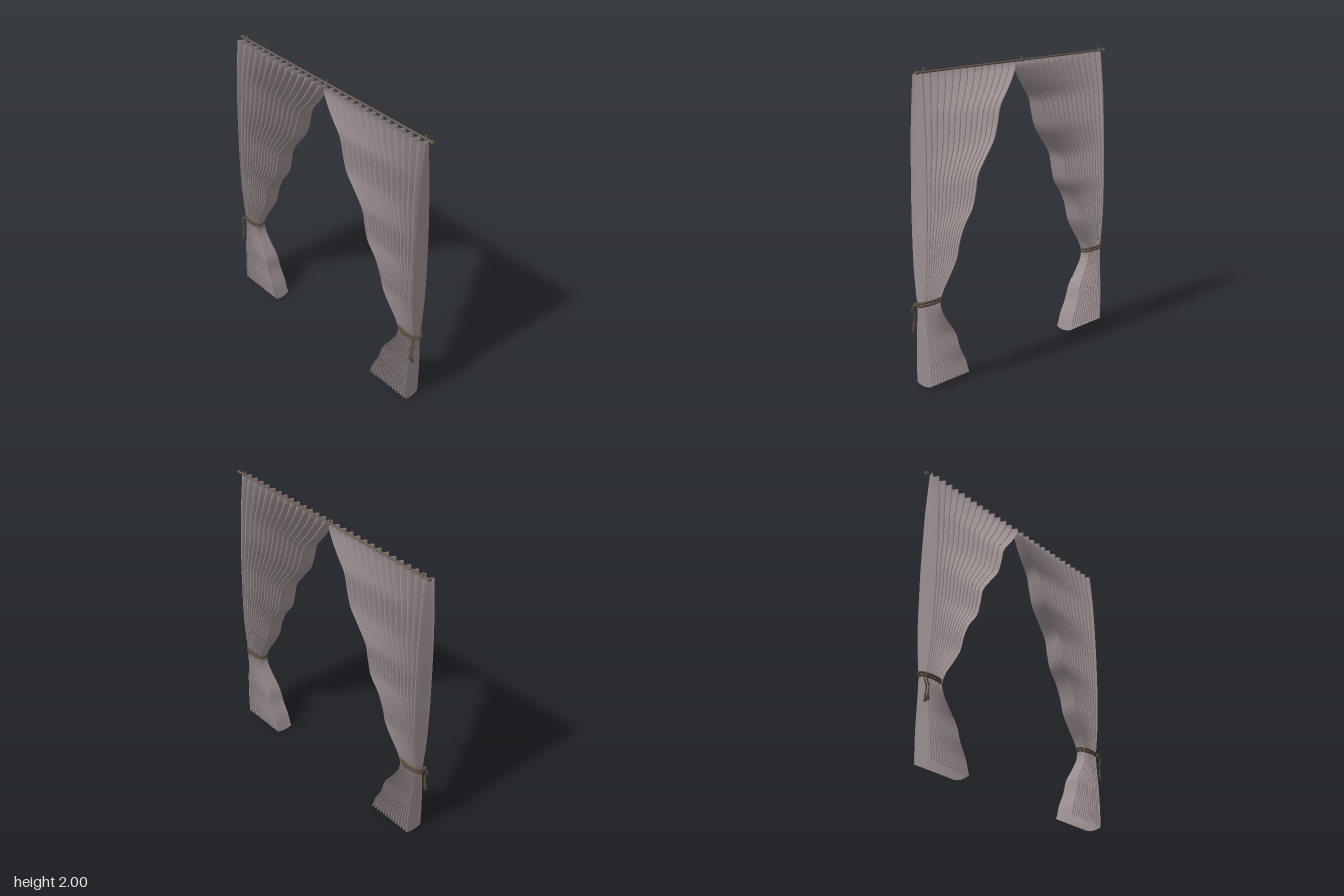
import * as THREE from 'three';

const fabric = new THREE.MeshStandardMaterial({ color: 0x9c8f90, side: THREE.DoubleSide });
fabric.name = 'curtain fabric';
const bronze = new THREE.MeshStandardMaterial({ color: 0x6a5d50 });
bronze.name = 'rod bronze';
const cord = new THREE.MeshStandardMaterial({ color: 0x594a3b });
cord.name = 'tieback cord';

const PLEATS = 14, STEPS = 12, ROWS = 84;

// Rows of the drape from top to hem: inner edge x, height y, pleat depth z
const drape = new THREE.CatmullRomCurve3([
  [0.002, 1.968, 0.028], [0.005, 1.94, 0.03], [0.04, 1.88, 0.036], [0.1, 1.8, 0.042],
  [0.175, 1.71, 0.049], [0.21, 1.6, 0.054], [0.25, 1.5, 0.058], [0.33, 1.4, 0.06],
  [0.405, 1.3, 0.062], [0.43, 1.2, 0.063], [0.46, 1.1, 0.063], [0.535, 1.0, 0.062],
  [0.58, 0.9, 0.06], [0.605, 0.8, 0.056], [0.66, 0.7, 0.048], [0.71, 0.62, 0.04],
  [0.735, 0.55, 0.033], [0.73, 0.49, 0.035], [0.68, 0.4, 0.042], [0.62, 0.31, 0.051],
  [0.59, 0.21, 0.057], [0.54, 0.11, 0.061], [0.51, 0.004, 0.062],
].map(p => new THREE.Vector3(...p)), false, 'centripetal');

function named(mesh, name, parent) {
  mesh.name = name;
  parent.add(mesh);
  return mesh;
}

// Pleated sheet gathered toward its outer side
function panelGeometry() {
  const cols = PLEATS * STEPS, pos = [], idx = [];
  for (let r = 0; r <= ROWS; r++) {
    const row = drape.getPoint(r / ROWS);
    const outer = 0.862 + 0.018 * Math.min(1, row.y / 0.6);
    const hem = Math.max(0, 1 - row.y / 0.06) * 0.018;
    for (let c = 0; c <= cols; c++) {
      const u = c / cols;
      const wave = Math.cos(u * PLEATS * Math.PI * 2);
      const x = THREE.MathUtils.lerp(outer, row.x, u);
      pos.push(x, row.y + hem * wave * wave, row.z * wave);
      if (r < ROWS && c < cols) {
        const a = r * (cols + 1) + c, b = a + cols + 1;
        idx.push(a, a + 1, b, a + 1, b + 1, b);
      }
    }
  }
  const g = new THREE.BufferGeometry();
  g.setAttribute('position', new THREE.Float32BufferAttribute(pos, 3));
  g.setIndex(idx);
  g.computeVertexNormals();
  return g;
}

function tube(points, radius, segments, closed = false) {
  const curve = new THREE.CatmullRomCurve3(points.map(p => new THREE.Vector3(...p)), closed);
  return new THREE.TubeGeometry(curve, segments, radius, 8, closed);
}

// Two cord loops, a knot and two hanging tassels
function tieback(s) {
  const g = new THREE.Group();
  g.name = s > 0 ? 'leftTieback' : 'rightTieback';
  for (const dy of [-0.009, 0.009]) {
    const loop = [];
    for (let i = 0; i < 16; i++) {
      const a = i / 16 * Math.PI * 2;
      loop.push([s * (0.814 + 0.09 * Math.cos(a)), 0.554 + dy - 0.007 * Math.sin(a), 0.044 * Math.sin(a)]);
    }
    named(new THREE.Mesh(tube(loop, 0.008, 48, true), cord), 'cordLoop', g);
  }
  const knot = named(new THREE.Mesh(new THREE.SphereGeometry(0.014, 12, 8), cord), 'knot', g);
  knot.position.set(s * 0.885, 0.54, 0.046);
  for (const [x, y, z] of [[0.882, 0.425, 0.057], [0.898, 0.412, 0.05]]) {
    const strand = tube([[s * 0.885, 0.545, 0.046], [s * (x + 0.012), 0.51, z], [s * (x - 0.006), 0.47, z], [s * x, y, z]], 0.004, 16);
    named(new THREE.Mesh(strand, cord), 'tasselCord', g);
    const profile = [[0, 0.008], [0.007, 0.004], [0.006, -0.008], [0.011, -0.042], [0, -0.042]];
    const geo = new THREE.LatheGeometry(profile.reverse().map(p => new THREE.Vector2(...p)), 10);
    named(new THREE.Mesh(geo, cord), 'tassel', g).position.set(s * x, y, z);
  }
  return g;
}

export function createModel() {
  const model = new THREE.Group();
  model.name = 'curtains';

  // Drapes and tiebacks
  for (const s of [1, -1]) {
    const geo = panelGeometry();
    if (s < 0) {
      geo.scale(-1, 1, 1);
      const i = geo.index.array;
      for (let k = 0; k < i.length; k += 3) [i[k], i[k + 1]] = [i[k + 1], i[k]];
      geo.computeVertexNormals();
    }
    named(new THREE.Mesh(geo, fabric), s > 0 ? 'leftCurtain' : 'rightCurtain', model);
    model.add(tieback(s));
  }

  // Rod with end caps and ceiling posts
  const rod = named(new THREE.Mesh(new THREE.CylinderGeometry(0.007, 0.007, 1.78, 12), bronze), 'rod', model);
  rod.rotation.z = Math.PI / 2;
  rod.position.set(0, 1.975, -0.02);
  for (const s of [1, -1]) {
    const cap = named(new THREE.Mesh(new THREE.CylinderGeometry(0.011, 0.011, 0.014, 12), bronze), 'rodCap', model);
    cap.rotation.z = Math.PI / 2;
    cap.position.set(s * 0.889, 1.975, -0.02);
  }
  for (const x of [-0.838, -0.03, 0.835]) {
    const post = named(new THREE.Mesh(new THREE.CylinderGeometry(0.006, 0.006, 0.03, 10), bronze), 'post', model);
    post.position.set(x, 1.985, -0.02);
    const collar = named(new THREE.Mesh(new THREE.CylinderGeometry(0.01, 0.01, 0.016, 12), bronze), 'collar', model);
    collar.rotation.z = Math.PI / 2;
    collar.position.set(x, 1.975, -0.02);
  }
  return model;
}
